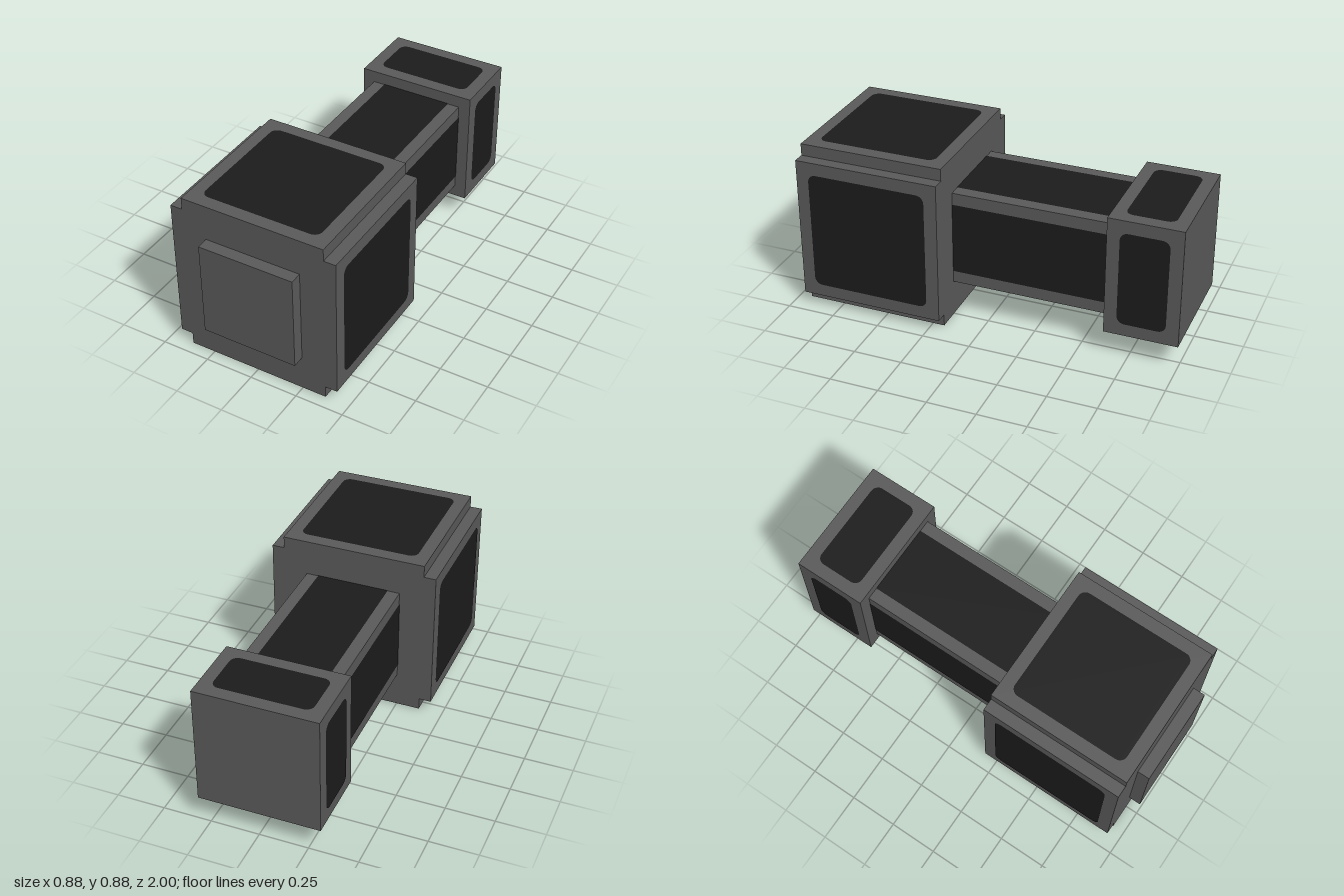
import * as THREE from 'three';

const AXIS_Y = 0.4375; // height of the long axis

export function createModel() {
  const group = new THREE.Group();
  const grey = new THREE.MeshStandardMaterial({ color: 0x59595a });
  grey.name = 'grey metal';
  const black = new THREE.MeshStandardMaterial({ color: 0x1b1b1b });
  black.name = 'black inlay';

  const add = (name, geometry, material) => {
    const mesh = new THREE.Mesh(geometry, material);
    mesh.name = name;
    mesh.position.y = AXIS_Y;
    group.add(mesh);
  };

  // square block around the long axis, from z0 to z1
  const block = (name, half, z0, z1) => {
    const g = new THREE.BoxGeometry(half * 2, half * 2, z1 - z0);
    add(name, g.translate(0, 0, (z0 + z1) / 2), grey);
  };

  // rectangle with rounded corners (r = 0 gives square corners)
  const roundedRect = (w, h, r) => {
    const s = new THREE.Shape();
    const x = w / 2, y = h / 2;
    s.moveTo(-x + r, -y);
    s.lineTo(x - r, -y);
    if (r) s.absarc(x - r, -y + r, r, -Math.PI / 2, 0);
    s.lineTo(x, y - r);
    if (r) s.absarc(x - r, y - r, r, 0, Math.PI / 2);
    s.lineTo(-x + r, y);
    if (r) s.absarc(-x + r, y - r, r, Math.PI / 2, Math.PI);
    s.lineTo(-x, -y + r);
    if (r) s.absarc(-x + r, -y + r, r, Math.PI, Math.PI * 1.5);
    return s;
  };

  // the same inlay on all four long sides
  const inlays = (name, half, width, z0, z1, r) => {
    for (let i = 0; i < 4; i++) {
      const g = new THREE.ShapeGeometry(roundedRect(width, z1 - z0, r), 4);
      g.rotateX(-Math.PI / 2).translate(0, half + 0.002, (z0 + z1) / 2);
      add(name + (i + 1), g.rotateZ(i * Math.PI / 2), black);
    }
  };

  // head: a square with notched edges, extruded along z
  const a = 0.4375, b = 0.375;
  const profile = [];
  for (let i = 0; i < 4; i++) {
    for (const [x, y] of [[a, -b], [a, b], [b, b]]) {
      profile.push(new THREE.Vector2(x, y).rotateAround(new THREE.Vector2(), i * Math.PI / 2));
    }
  }
  const head = new THREE.ExtrudeGeometry(new THREE.Shape(profile), { depth: 0.75, bevelEnabled: false });
  add('head', head.translate(0, 0, 0.1875), grey);
  inlays('headInlay', a, 0.62, 0.2525, 0.8725, 0.04);

  // raised plate on the front of the head
  block('strikingPlate', 0.25, 0.9375, 1);

  // handle
  block('handle', 0.25, -0.625, 0.1875);
  inlays('handleInlay', 0.25, 0.375, -0.625, 0.1875, 0);

  // end block
  block('endBlock', 0.3125, -1, -0.625);
  inlays('endInlay', 0.3125, 0.495, -0.935, -0.69, 0.04);

  return group;
}
